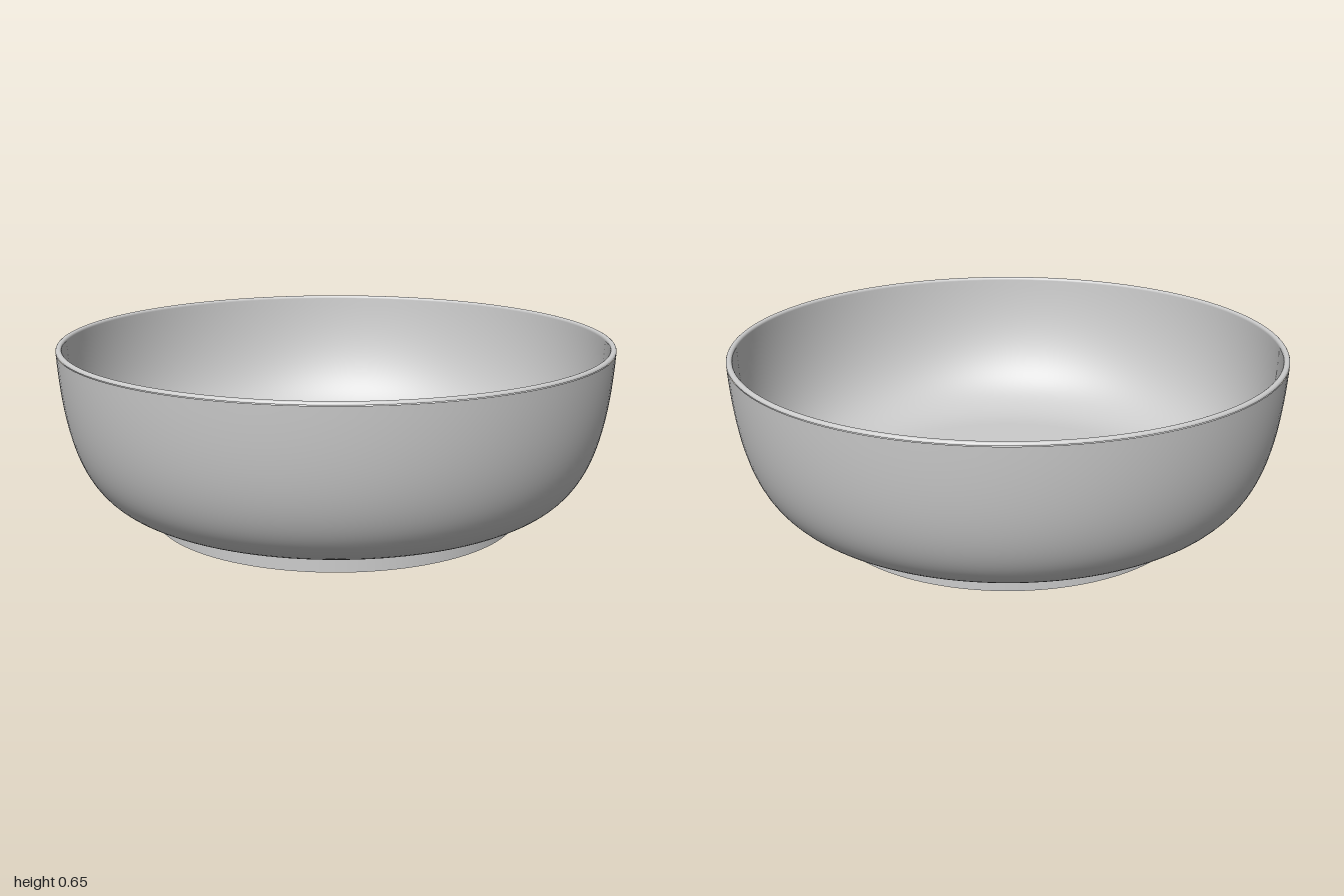
import * as THREE from 'three';

const SEGMENTS = 128;
const v = (x, y) => new THREE.Vector2(x, y);

// Sample a cubic curve in the profile plane (radius, height)
const cubic = (a, b, c, d, n) =>
  new THREE.CubicBezierCurve(v(...a), v(...b), v(...c), v(...d)).getPoints(n);

// Quarter-round from angle a0 to a1 about a centre
const arc = (cx, cy, r, a0, a1, n = 6) =>
  Array.from({ length: n + 1 }, (_, i) => {
    const a = a0 + ((a1 - a0) * i) / n;
    return v(cx + r * Math.cos(a), cy + r * Math.sin(a));
  });

export function createModel() {
  const bowl = new THREE.Group();
  bowl.name = 'bowl';
  const ceramic = new THREE.MeshStandardMaterial({ color: 0xcccccc });
  ceramic.name = 'light grey ceramic';

  // Each surface is its own lathe, so the joins between them stay crisp
  const spin = (name, points) => {
    const mesh = new THREE.Mesh(new THREE.LatheGeometry(points, SEGMENTS), ceramic);
    mesh.name = name;
    bowl.add(mesh);
  };

  // Underside recess: flat ceiling blending down to the foot ring
  spin('recessCeiling', [v(0, 0.05), v(0.534, 0.05)]);
  spin('recessFillet', arc(0.534, 0, 0.05, Math.PI / 2, 0, 10));

  // Foot ring
  spin('footBase', [v(0.584, 0), v(0.675, 0)]);
  spin('footSide', [v(0.675, 0), v(0.675, 0.062)]);

  // Outer wall
  spin('outerWall', cubic([0.64, 0.056], [0.9, 0.06], [0.98, 0.26], [1, 0.638], 32));

  // Rounded rim
  spin('rim', [
    ...arc(0.99, 0.64, 0.01, 0, Math.PI / 2),
    ...arc(0.988, 0.64, 0.01, Math.PI / 2, Math.PI),
  ]);

  // Inner wall sweeping into the flat floor
  spin('innerWall', cubic([0.978, 0.64], [0.958, 0.3], [0.86, 0.12], [0.6, 0.12], 32));
  spin('floor', [v(0.6, 0.12), v(0, 0.12)]);

  return bowl;
}
